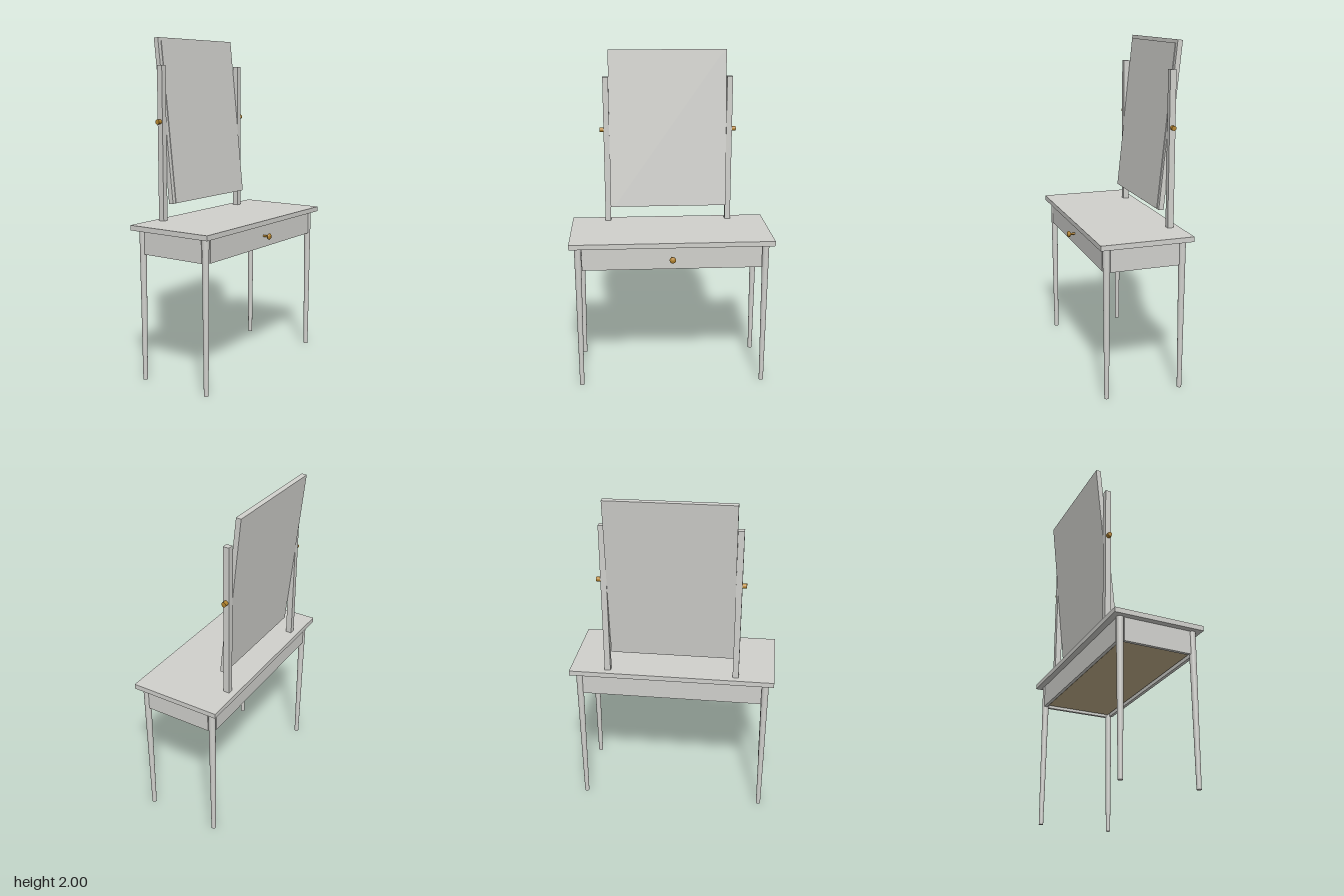
import * as THREE from 'three';

export function createModel() {
  const model = new THREE.Group();
  const paint = new THREE.MeshStandardMaterial({ color: 0xd0d0cc });
  paint.name = 'pale grey paint';
  const brass = new THREE.MeshStandardMaterial({ color: 0xb5852f });
  brass.name = 'brass';
  const plywood = new THREE.MeshStandardMaterial({ color: 0xc4b28c });
  plywood.name = 'plywood';

  const add = (name, geometry, material, x, y, z, parent = model) => {
    const mesh = new THREE.Mesh(geometry, material);
    mesh.name = name;
    mesh.position.set(x, y, z);
    parent.add(mesh);
    return mesh;
  };
  const box = (name, w, h, d, x, y, z, material = paint, parent = model) =>
    add(name, new THREE.BoxGeometry(w, h, d), material, x, y, z, parent);

  // Table: top, drawer front, aprons and drawer bottom
  box('tableTop', 1.22, 0.03, 0.55, 0, 0.915, -0.003);
  box('drawerFront', 1.074, 0.14, 0.02, 0, 0.83, 0.232);
  box('backApron', 1.08, 0.14, 0.02, 0, 0.83, -0.232);
  box('drawerBottom', 1.08, 0.008, 0.42, 0, 0.776, 0, plywood);

  for (const side of [-1, 1]) {
    box('sideApron', 0.02, 0.14, 0.41, side * 0.563, 0.83, 0);

    // Round tapered legs
    for (const z of [0.224, -0.226])
      add('leg', new THREE.CylinderGeometry(0.021, 0.0135, 0.9, 32), paint, side * 0.56, 0.45, z);

    // Mirror posts with pivot pins
    box('mirrorPost', 0.035, 0.91, 0.036, side * 0.3825, 1.385, -0.222);
    const pin = add('pivotPin', new THREE.CylinderGeometry(0.014, 0.014, 0.03, 24), brass,
      side * 0.41, 1.515, -0.222);
    pin.rotation.z = Math.PI / 2;
  }

  // Turned drawer knob
  const profile = [[0.007, 0], [0.006, 0.026], [0.014, 0.03], [0.019, 0.036],
    [0.019, 0.041], [0.013, 0.047], [0, 0.049]].map(([r, y]) => new THREE.Vector2(r, y));
  const knob = add('drawerKnob', new THREE.LatheGeometry(profile, 28), brass, 0, 0.828, 0.242);
  knob.rotation.x = Math.PI / 2;

  // Tilted mirror: backing frame and thin front plate
  const mirror = new THREE.Group();
  mirror.name = 'mirror';
  mirror.position.set(0, 1.515, -0.225);
  mirror.rotation.x = -0.103;
  box('mirrorFrame', 0.73, 0.972, 0.03, 0, 0, 0, paint, mirror);
  box('mirrorPlate', 0.68, 0.95, 0.004, 0, -0.009, 0.0165, paint, mirror);
  model.add(mirror);

  return model;
}
